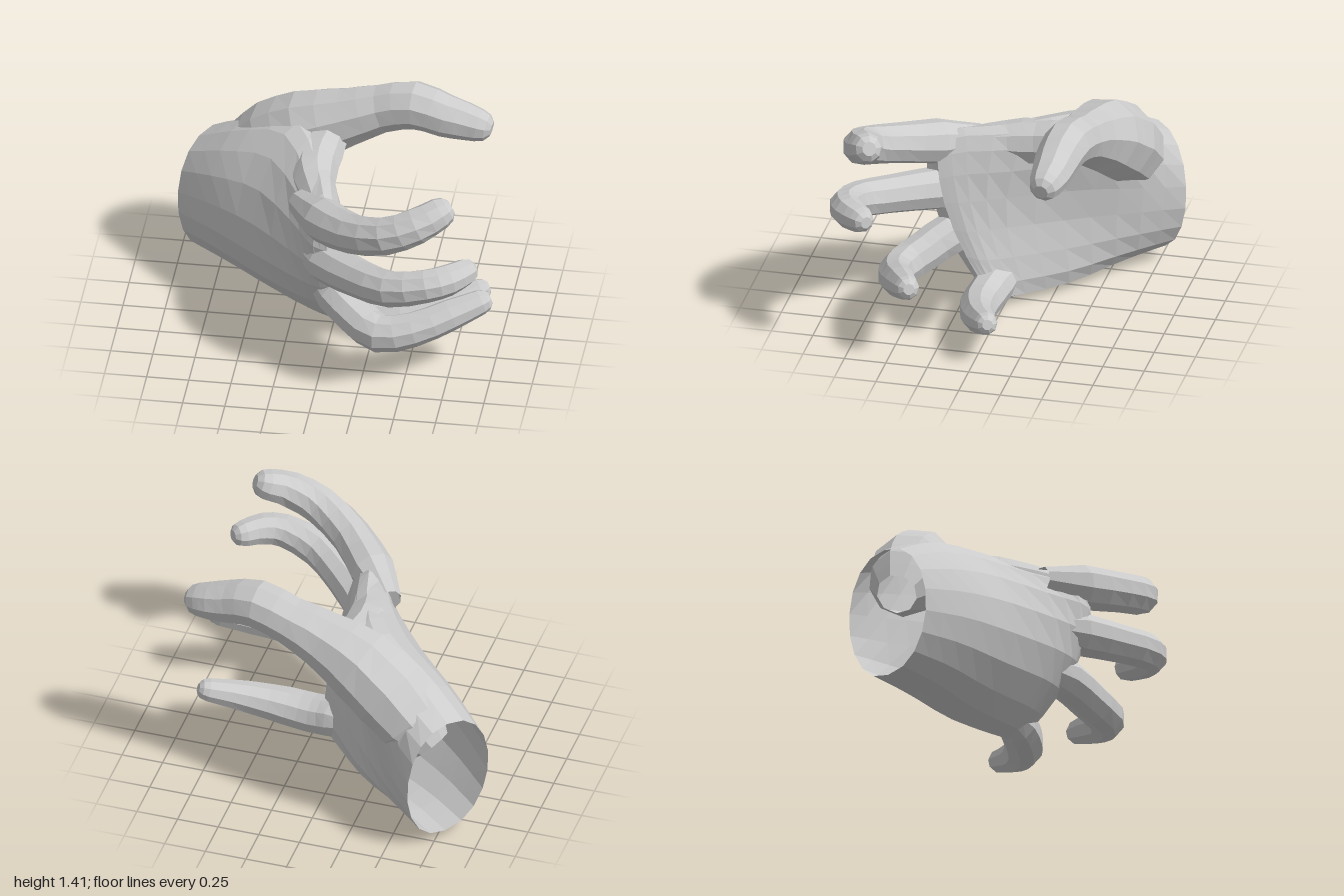
import * as THREE from 'three';

const material = new THREE.MeshStandardMaterial({ color: 0xcccccc, flatShading: true, side: THREE.DoubleSide });
const V = (p) => new THREE.Vector3(p[0], p[1], p[2]);
const average = (ring) =>
  ring.reduce((s, p) => s.add(p), new THREE.Vector3()).divideScalar(ring.length);

// Skin a list of equal-sized rings; the root stays open, the far end is closed
function loft(name, rings) {
  const n = rings[0].length, last = rings.length - 1, end = rings.length * n, idx = [];
  for (let j = 0; j < n; j++) {
    const k = (j + 1) % n;
    for (let i = 0; i < last; i++) {
      const a = i * n + j, b = i * n + k, c = a + n, d = b + n;
      idx.push(a, b, d, a, d, c);
    }
    idx.push(end, last * n + j, last * n + k);
  }
  const geo = new THREE.BufferGeometry().setFromPoints([...rings.flat(), average(rings[last])]);
  geo.setIndex(idx);
  geo.computeVertexNormals();
  const mesh = new THREE.Mesh(geo, material);
  mesh.name = name;
  return mesh;
}

// Linear look-up in a list of values, t from 0 to 1
function sample(list, t) {
  const f = t * (list.length - 1), i = Math.min(Math.floor(f), list.length - 2);
  return THREE.MathUtils.lerp(list[i], list[i + 1], f - i);
}

// Tapered limb along points [x, y, z, radius], with a rounded tip
function limb(name, points, sides = 9) {
  const curve = new THREE.CatmullRomCurve3(points.map(V));
  const radii = points.map((p) => p[3]);
  const steps = (points.length - 1) * 2, rings = [];
  const ring = (c, t, r) => {
    const s = new THREE.Vector3(0, 1, 0).cross(t).normalize();
    const u = t.clone().cross(s);
    return Array.from({ length: sides }, (_, j) => {
      const a = (j / sides) * Math.PI * 2;
      return c.clone().addScaledVector(s, Math.cos(a) * r).addScaledVector(u, Math.sin(a) * r);
    });
  };
  for (let i = 0; i <= steps; i++) {
    const t = i / steps;
    rings.push(ring(curve.getPoint(t), curve.getTangent(t), sample(radii, t)));
  }
  const tip = curve.getPoint(1), dir = curve.getTangent(1), r = radii[radii.length - 1];
  [[0.5, 0.82], [0.8, 0.45]].forEach(([d, k]) =>
    rings.push(ring(tip.clone().addScaledVector(dir, r * d), dir, r * k)));
  return loft(name, rings);
}

// Palm and wrist sections: thumb edge, middle and little-finger edge of the spine,
// thickness of the back, and of the inner side at the thumb, middle and little finger
const SECTIONS = [
  { top: [-0.82, 0.85, -0.71], mid: [-0.81, 0.45, -0.7], low: [-0.8, 0.05, -0.69], back: 0.3, inner: [0.28, 0.28, 0.28] },
  { top: [-0.57, 1.01, -0.56], mid: [-0.59, 0.52, -0.42], low: [-0.56, 0.05, -0.5], back: 0.26, inner: [0.38, 0.31, 0.33] },
  { top: [-0.29, 1.13, -0.4], mid: [-0.35, 0.56, -0.14], low: [-0.25, 0.025, -0.28], back: 0.225, inner: [0.34, 0.25, 0.31] },
  { top: [-0.1, 1.09, 0.0], mid: [-0.07, 0.58, 0.17], low: [0.0, 0.025, -0.06], back: 0.195, inner: [0.22, 0.19, 0.23] },
  { top: [0.0, 1.06, 0.35], mid: [0.06, 0.58, 0.32], low: [0.13, 0.05, 0.03], back: 0.16, inner: [0.14, 0.14, 0.15] },
  { top: [0.05, 1.0, 0.43], mid: [0.11, 0.58, 0.38], low: [0.17, 0.08, 0.07], back: 0.08, inner: [0.09, 0.09, 0.09] },
];

function palm() {
  const [top, mid, low] = ['top', 'mid', 'low'].map(
    (k) => new THREE.CatmullRomCurve3(SECTIONS.map((s) => V(s[k]))));
  const backs = SECTIONS.map((s) => s.back);
  const inners = [2, 1, 0].map((k) => SECTIONS.map((s) => s.inner[k]));
  const rings = [], steps = 12, sides = 18;
  for (let i = 0; i <= steps; i++) {
    const t = i / steps, T = top.getPoint(t), M = mid.getPoint(t), B = low.getPoint(t);
    const normal = new THREE.Vector3(0.61 + 0.12 * t, 0, -0.79 + 0.12 * t).normalize();
    const inner = inners.map((list) => sample(list, t));
    rings.push(Array.from({ length: sides }, (_, j) => {
      const a = (j / sides) * Math.PI * 2, v = Math.cos(a), s = Math.sin(a);
      const thick = s > 0 ? -sample(backs, t) : sample(inner, (v + 1) / 2);
      // Parabola through the three points, so the palm is cupped
      return M.clone().multiplyScalar(1 - v * v)
        .addScaledVector(T, (v * v + v) / 2)
        .addScaledVector(B, (v * v - v) / 2)
        .addScaledVector(normal, thick * Math.abs(s) ** 0.9);
    }));
  }
  return loft('palm', rings);
}

export function createModel() {
  const hand = new THREE.Group();
  hand.name = 'hand';
  hand.add(palm());

  // Each limb starts thin inside the palm so its root blends in
  const limbs = {
    indexFinger: [[-0.17, 0.95, 0.2, 0.08], [0.0, 0.98, 0.42, 0.135], [0.2, 1.04, 0.635, 0.12],
      [0.42, 1.12, 0.755, 0.115], [0.6, 1.2, 0.745, 0.11], [0.73, 1.26, 0.68, 0.095]],
    middleFinger: [[-0.13, 0.66, 0.2, 0.08], [0.02, 0.685, 0.41, 0.13], [0.25, 0.73, 0.64, 0.115],
      [0.45, 0.775, 0.79, 0.11], [0.67, 0.835, 0.82, 0.1], [0.79, 0.855, 0.77, 0.095], [0.88, 0.865, 0.68, 0.08]],
    ringFinger: [[-0.08, 0.45, 0.14, 0.08], [0.07, 0.41, 0.34, 0.125], [0.2, 0.35, 0.46, 0.12],
      [0.35, 0.31, 0.56, 0.115], [0.55, 0.35, 0.55, 0.105], [0.76, 0.42, 0.47, 0.095], [0.93, 0.475, 0.39, 0.075]],
    littleFinger: [[-0.06, 0.18, -0.04, 0.07], [0.11, 0.14, 0.05, 0.12], [0.25, 0.12, 0.08, 0.12],
      [0.42, 0.135, 0.08, 0.115], [0.65, 0.19, 0.025, 0.095], [0.86, 0.26, -0.07, 0.07]],
    thumb: [[-0.7, 0.62, -0.64, 0.12], [-0.57, 0.75, -0.61, 0.21], [-0.42, 0.89, -0.57, 0.235],
      [-0.22, 1.02, -0.52, 0.225], [0.02, 1.13, -0.49, 0.175], [0.22, 1.21, -0.48, 0.145], [0.42, 1.265, -0.455, 0.145],
      [0.6, 1.225, -0.43, 0.13], [0.72, 1.2, -0.425, 0.115], [0.8, 1.185, -0.415, 0.1]],
    // Skin between thumb and index finger
    thumbWeb: [[-0.06, 1.04, -0.48, 0.1], [-0.12, 0.99, -0.26, 0.14], [-0.13, 0.97, -0.06, 0.14],
      [-0.08, 0.97, 0.14, 0.11], [-0.02, 0.97, 0.34, 0.07]],
  };
  for (const [name, points] of Object.entries(limbs)) hand.add(limb(name, points));
  return hand;
}
